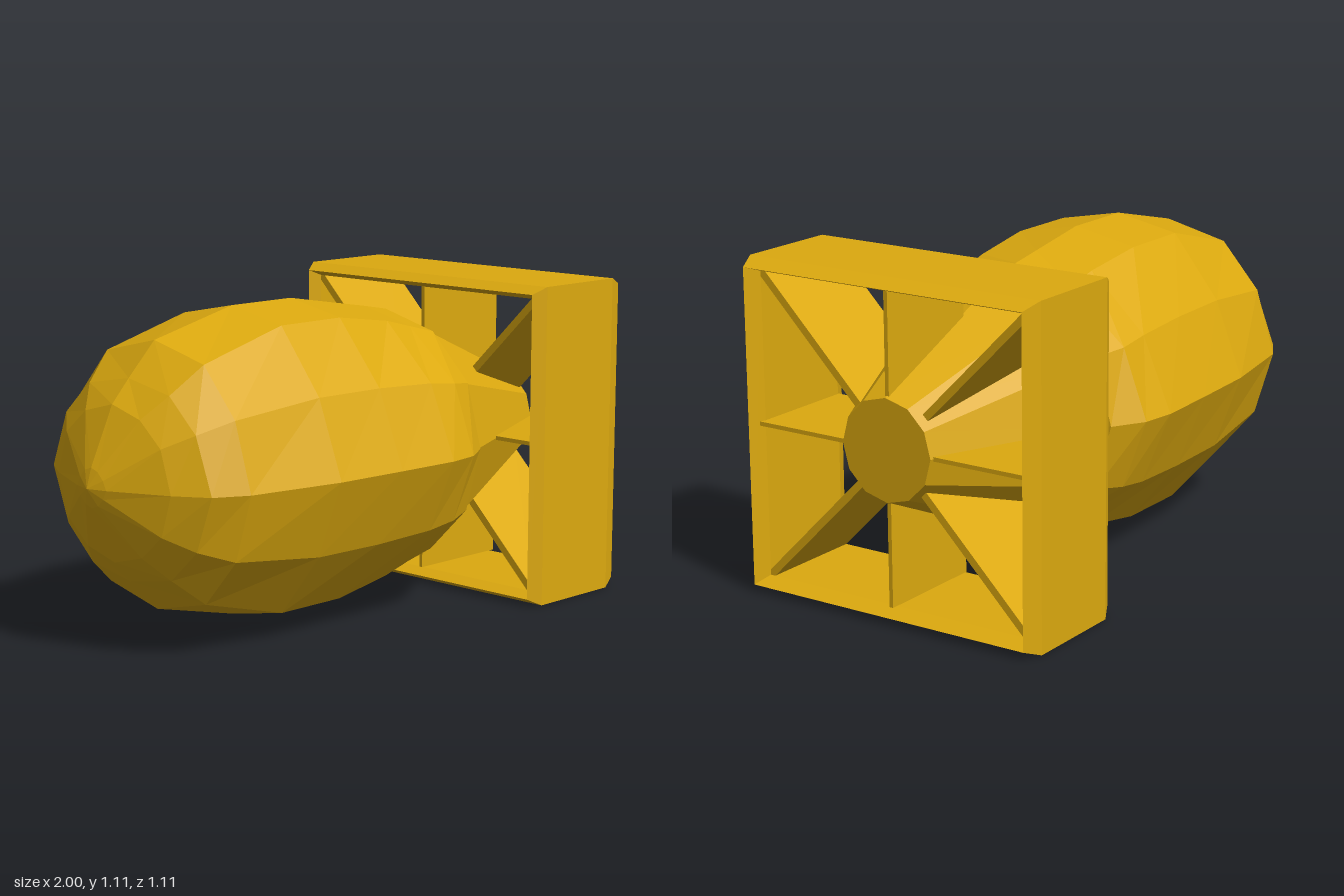
import * as THREE from 'three';

const AXIS_Y = 0.565;   // height of the body axis
const FRAME_Y = 0.555;  // height of the tail frame centre

// Twelve-sided cross-section from one quarter: side, two shoulders, top
function ringPoints([x, side, z2, y2, z1, y1, top]) {
  const pts = [
    [side, 0], [z2, y2], [z1, y1], [0, top], [-z1, y1], [-z2, y2],
    [-side, 0], [-z2, -y2], [-z1, -y1], [0, -top], [z1, -y1], [z2, -y2],
  ];
  return pts.map(([z, y]) => [x, y, z]);
}

// Faceted skin through successive cross-sections along x
function skin(sections) {
  const rings = sections.map(ringPoints);
  const pos = [];
  for (let k = 0; k < rings.length - 1; k++) {
    for (let i = 0; i < 12; i++) {
      const j = (i + 1) % 12;
      const [a, a2, b, b2] = [rings[k][i], rings[k][j], rings[k + 1][i], rings[k + 1][j]];
      pos.push(...a, ...b, ...b2);
      if (k > 0) pos.push(...a, ...b2, ...a2); // the first ring is the nose point
    }
  }
  const g = new THREE.BufferGeometry();
  g.setAttribute('position', new THREE.Float32BufferAttribute(pos, 3));
  g.computeVertexNormals();
  return g;
}

function flat(geometry) {
  const g = geometry.toNonIndexed();
  g.computeVertexNormals();
  return g;
}

export function createModel() {
  const model = new THREE.Group();
  model.name = 'finnedBomb';
  const yellow = new THREE.MeshStandardMaterial({ color: 0xdca90f, flatShading: true });
  yellow.name = 'mustardYellow';

  const add = (name, geometry, y) => {
    const mesh = new THREE.Mesh(geometry, yellow);
    mesh.name = name;
    mesh.position.y = y;
    model.add(mesh);
    return mesh;
  };

  // Body: x, side, lower shoulder z/y, upper shoulder z/y, top
  add('body', skin([
    [-1.0, 0, 0, 0, 0, 0, 0],
    [-0.98, 0.07, 0.055, 0.03, 0.03, 0.055, 0.065],
    [-0.89, 0.27, 0.225, 0.14, 0.13, 0.22, 0.255],
    [-0.82, 0.38, 0.31, 0.185, 0.19, 0.295, 0.33],
    [-0.71, 0.44, 0.37, 0.225, 0.23, 0.385, 0.44],
    [-0.37, 0.50, 0.40, 0.26, 0.23, 0.475, 0.52],
    [-0.10, 0.515, 0.41, 0.26, 0.23, 0.475, 0.52],
    [0.14, 0.525, 0.42, 0.25, 0.22, 0.44, 0.48],
    [0.26, 0.507, 0.42, 0.235, 0.215, 0.41, 0.46],
    [0.37, 0.442, 0.382, 0.221, 0.221, 0.382, 0.44],
    [0.372, 0.42, 0.364, 0.21, 0.21, 0.364, 0.42],
  ]), AXIS_Y);

  // Tail cone with flat end
  const cone = new THREE.CylinderGeometry(0.17, 0.433, 0.6, 12);
  cone.rotateZ(-Math.PI / 2).translate(0.67, 0, 0);
  add('tailCone', flat(cone), AXIS_Y);

  // Square tail frame: bevelled wall section swept round four sides
  const section = [
    [0.53, 0.525], [0.555, 0.575], [0.555, 0.935], [0.53, 1.0],
    [0.51, 0.94], [0.51, 0.57], [0.53, 0.525],
  ].map(([r, x]) => new THREE.Vector2(r * Math.SQRT2, x));
  const frame = new THREE.LatheGeometry(section, 4);
  frame.rotateY(Math.PI / 4).rotateZ(-Math.PI / 2);
  add('tailFrame', flat(frame), FRAME_Y);

  // Eight fins joining the cone to the frame
  for (let i = 0; i < 8; i++) {
    const diagonal = i % 2 === 1;
    const outer = diagonal ? 0.72 : 0.52;
    const inner = 0.16;
    const fin = new THREE.BoxGeometry(diagonal ? 0.37 : 0.395, outer - inner, diagonal ? 0.026 : 0.014);
    fin.translate(diagonal ? 0.755 : 0.7625, (outer + inner) / 2, 0);
    fin.rotateX((i * Math.PI) / 4);
    add(diagonal ? 'diagonalFin' : 'straightFin', fin, diagonal ? FRAME_Y : AXIS_Y);
  }
  return model;
}
